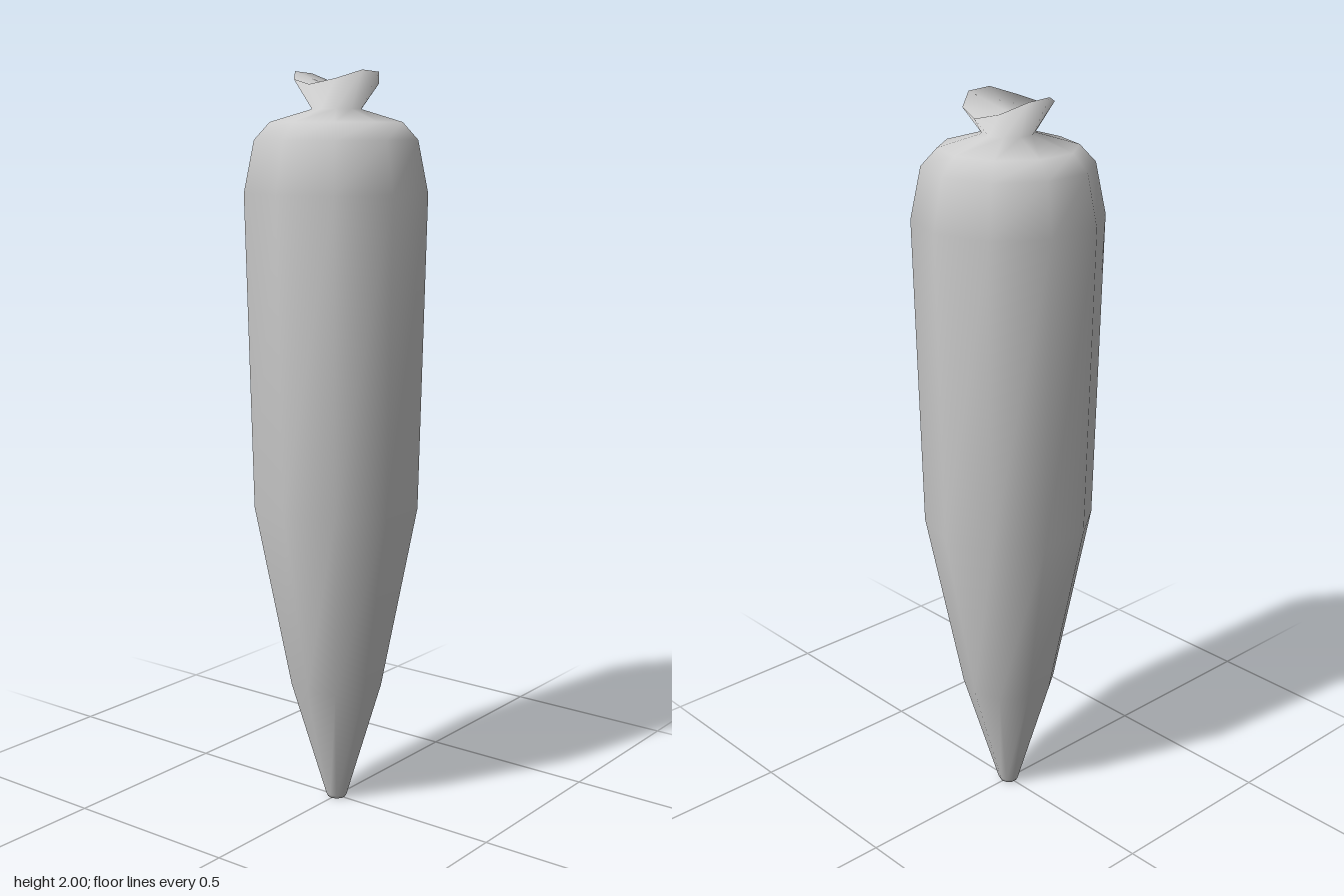
import * as THREE from 'three';
import { mergeVertices } from 'three/addons/utils/BufferGeometryUtils.js';

const SIDES = 10;

// Ring profile from base to mouth: [radius, height]
const PROFILE = [
  [0.025, 0], [0.03, 0.01], [0.13, 0.345], [0.23, 0.855], [0.25, 1.69],
  [0.222, 1.825], [0.18, 1.87], [0.067, 1.903],
];
const RIM_RADIUS = 0.115;
const MOUTH_CENTRE = 1.953;

// The gathered mouth rises at front and back and tilts a little sideways
const rimHeight = (a) => 1.958 + 0.0445 * Math.sin(a) ** 2 - 0.006 * Math.cos(a);

function wrappedBody() {
  const rings = [
    () => [0, 0],
    ...PROFILE.map((p) => () => p),
    (a) => [RIM_RADIUS, rimHeight(a)],
    () => [0, MOUTH_CENTRE],
  ];
  const positions = [];
  const point = (ring, i) => {
    const a = ((i % SIDES) / SIDES) * Math.PI * 2;
    const [r, y] = ring(a);
    positions.push(r * Math.cos(a), y, r * Math.sin(a));
  };
  for (let k = 0; k < rings.length - 1; k++) {
    const low = rings[k], high = rings[k + 1];
    for (let i = 0; i < SIDES; i++) {
      // The first and last bands close to a centre point
      if (k > 0) {
        point(low, i); point(high, i); point(low, i + 1);
      }
      if (k < rings.length - 2) {
        point(low, i + 1); point(high, i); point(high, i + 1);
      }
    }
  }
  const geometry = new THREE.BufferGeometry();
  geometry.setAttribute('position', new THREE.Float32BufferAttribute(positions, 3));
  const smooth = mergeVertices(geometry, 1e-5);
  smooth.computeVertexNormals();
  return smooth;
}

export function createModel() {
  const group = new THREE.Group();
  group.name = 'taperedSack';
  const material = new THREE.MeshStandardMaterial({ color: 0xcccccc });

  // Tapered body with a pinched neck and flared, wavy mouth
  const body = new THREE.Mesh(wrappedBody(), material);
  body.name = 'sackBody';
  group.add(body);

  return group;
}
